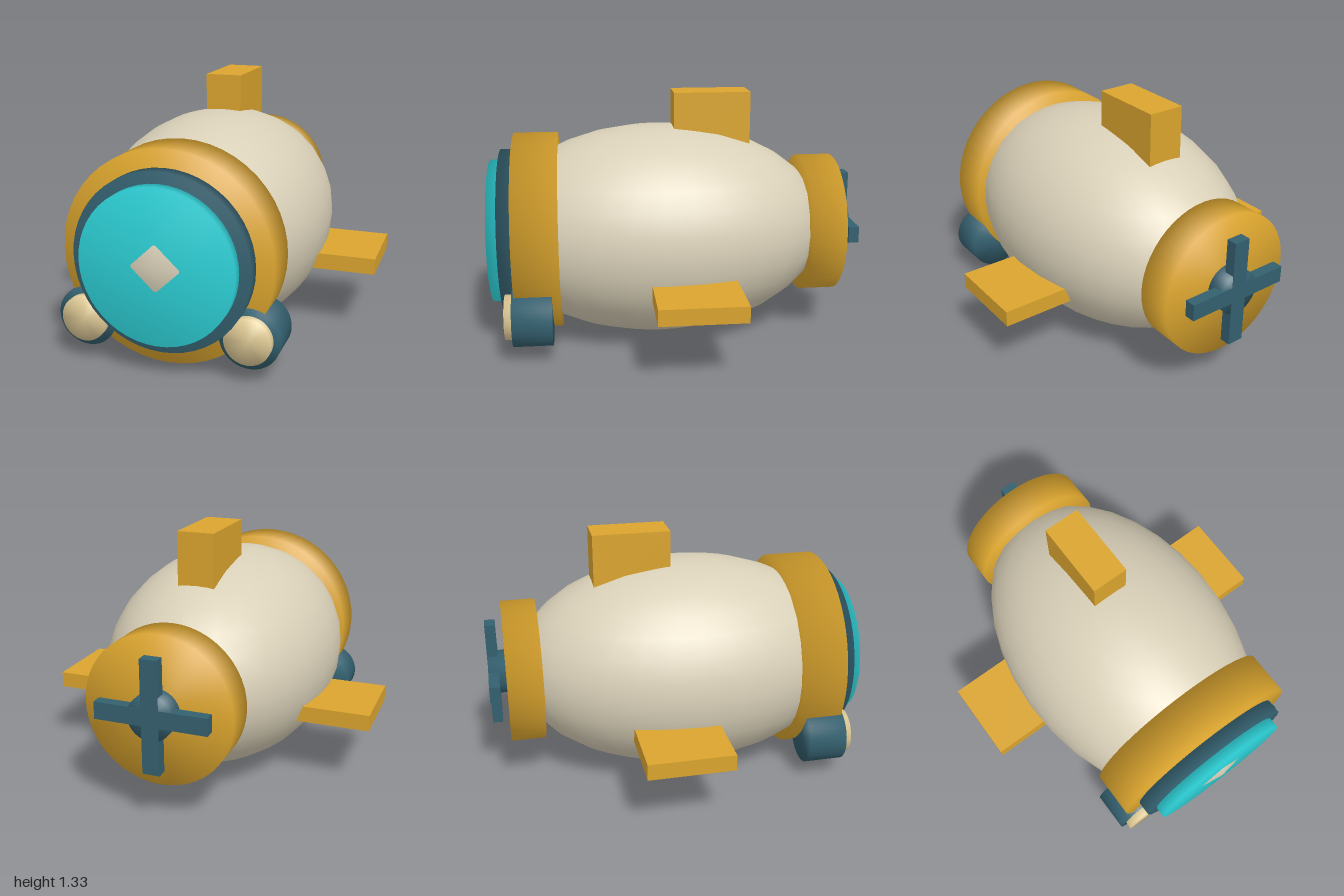
import * as THREE from 'three';
import { mergeVertices } from 'three/addons/utils/BufferGeometryUtils.js';

const mat = (name, color) => {
  const m = new THREE.MeshStandardMaterial({ color });
  m.name = name;
  return m;
};

export function createModel() {
  const cream = mat('hullCream', 0xd9d0b8);
  const gold = mat('gold', 0xdaa42e);
  const navy = mat('slateBlue', 0x34606f);
  const teal = mat('glassTeal', 0x2dd2d8);
  const sand = mat('lampSand', 0xe0cb97);

  const model = new THREE.Group();
  model.name = 'submarine';
  const AXIS = 0.578; // height of the hull's long axis

  const add = (name, geometry, material, x, y, z) => {
    const mesh = new THREE.Mesh(geometry, material);
    mesh.name = name;
    mesh.position.set(x, y, z);
    model.add(mesh);
    return mesh;
  };

  // Disc lying along z between two depths, shaded softly over its rim
  const disc = (name, material, radius, z0, z1, x = 0, y = AXIS) => {
    let g = new THREE.CylinderGeometry(radius, radius, z1 - z0, 48);
    g.rotateX(Math.PI / 2);
    g.deleteAttribute('normal');
    g.deleteAttribute('uv');
    g = mergeVertices(g, 1e-4);
    g.computeVertexNormals();
    return add(name, g, material, x, y, (z0 + z1) / 2);
  };

  const box = (name, material, w, h, d, x, y, z) =>
    add(name, new THREE.BoxGeometry(w, h, d), material, x, y, z);

  // Egg-shaped hull whose nose just pokes through the window
  const hull = new THREE.SphereGeometry(1, 32, 16);
  hull.scale(0.61, 0.574, 0.928);
  add('hull', hull, cream, 0, AXIS, 0.07);

  // Front window stack
  disc('frontCollar', gold, 0.535, 0.61, 0.846);
  disc('windowFrame', navy, 0.446, 0.83, 0.921);
  disc('windowGlass', teal, 0.389, 0.9, 0.979);

  // Headlamps
  for (const side of [-1, 1]) {
    const label = side > 0 ? 'left' : 'right';
    disc(label + 'LampHousing', navy, 0.152, 0.653, 0.857, side * 0.42, 0.233);
    disc(label + 'LampLens', sand, 0.117, 0.8, 0.897, side * 0.42, 0.235);
    // Side fins
    box(label + 'Fin', gold, 0.485, 0.085, 0.44, side * 0.6425, 0.393, -0.073);
  }

  // Top fin
  box('topFin', gold, 0.195, 0.385, 0.41, 0, 1.1425, -0.218);

  // Tail cap and propeller
  disc('tailCap', gold, 0.381, -0.909, -0.726);
  disc('propellerHub', navy, 0.116, -0.998, -0.89);
  box('horizontalBlade', navy, 0.575, 0.088, 0.056, 0, AXIS, -0.972);
  box('verticalBlade', navy, 0.088, 0.575, 0.056, 0, AXIS, -0.972);

  return model;
}
